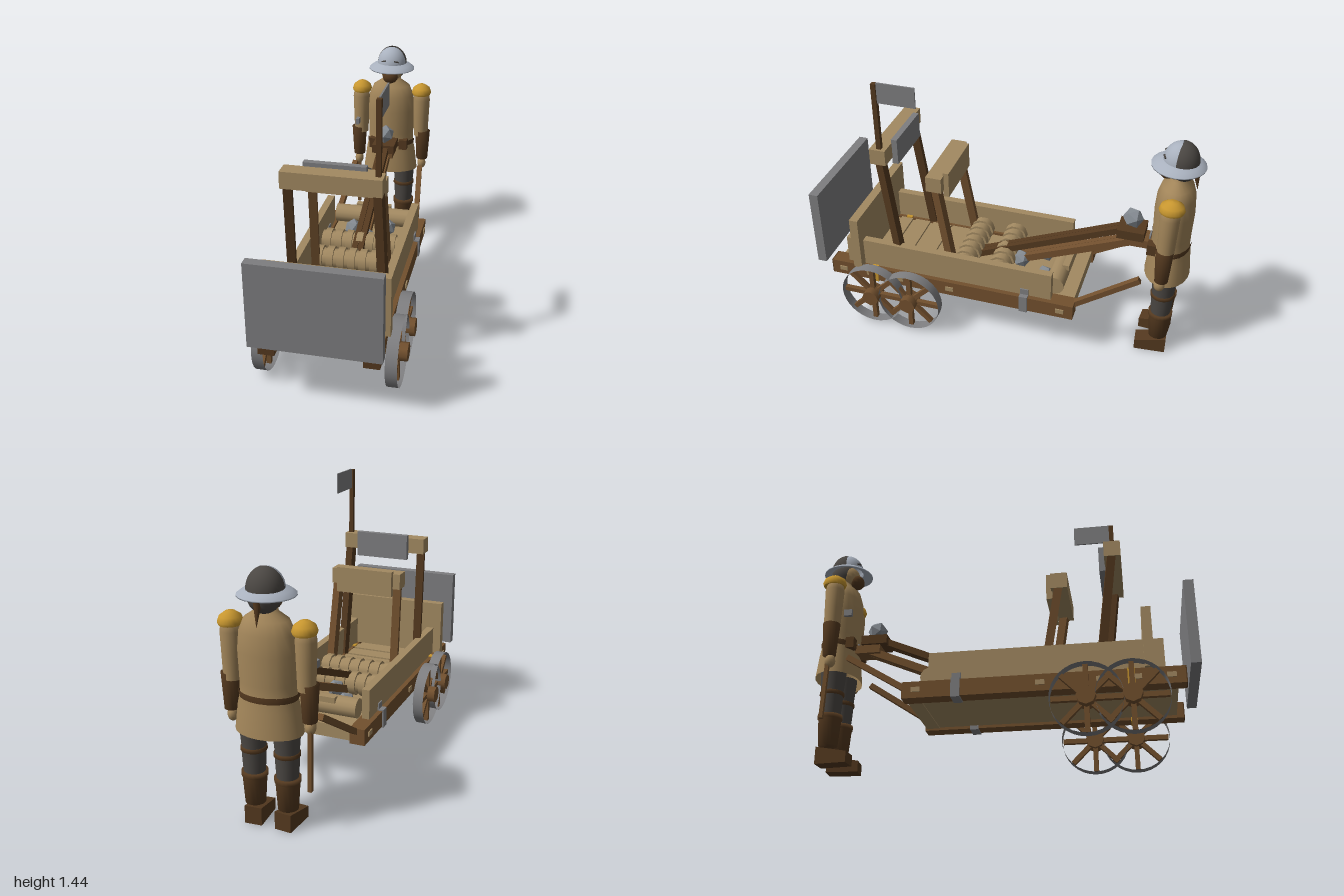
import * as THREE from 'three';

const mat = (name, color, side = THREE.FrontSide) => {
  const m = new THREE.MeshStandardMaterial({ color, side });
  m.name = name;
  return m;
};

export function createModel() {
  const root = new THREE.Group();
  root.name = 'siegeWagonAndSoldier';
  const D = THREE.DoubleSide;
  const wood = mat('paleWood', 0xa38a62), brown = mat('brownWood', 0x72502e), dark = mat('darkLeather', 0x54391f);
  const iron = mat('iron', 0x7e7e80, D), steel = mat('helmetSteel', 0xa9b1be, D), gold = mat('gold', 0xc7962f);
  const cloth = mat('coatCloth', 0xa3865a, D), grey = mat('darkGrey', 0x4b4743, D), stone = mat('stone', 0x858b92);

  const add = (name, geo, m, x = 0, y = 0, z = 0, parent = root) => {
    const o = new THREE.Mesh(geo, m);
    o.name = name;
    o.position.set(x, y, z);
    parent.add(o);
    return o;
  };
  // box given by its limits on each axis
  const box = (name, m, x0, x1, y0, y1, z0, z1, parent = root) =>
    add(name, new THREE.BoxGeometry(x1 - x0, y1 - y0, z1 - z0), m, (x0 + x1) / 2, (y0 + y1) / 2, (z0 + z1) / 2, parent);
  // square beam between two points
  const beam = (name, m, a, b, w, d = w) => {
    const A = new THREE.Vector3(...a), B = new THREE.Vector3(...b);
    const o = add(name, new THREE.BoxGeometry(w, d, A.distanceTo(B)), m);
    o.position.copy(A).add(B).multiplyScalar(0.5);
    o.lookAt(B);
    return o;
  };
  // upright round part with elliptical section
  const lathe = (name, m, pts, x, z, sx = 1, sz = 1, parent = root) => {
    const o = add(name, new THREE.LatheGeometry(pts.map(p => new THREE.Vector2(...p)), 20), m, x, 0, z, parent);
    o.scale.set(sx, 1, sz);
    return o;
  };

  // Wagon bed
  box('bedFloor', wood, -0.21, 0.21, 0.27, 0.325, -0.4, 0.89);
  box('rearCrossBeam', wood, -0.21, 0.21, 0.265, 0.335, -0.43, -0.36);
  for (const [a, b] of [[0.28, 0.4], [0.41, 0.52], [0.54, 0.63], [0.65, 0.72], [0.8, 0.89]])
    box('floorPlank', wood, -0.21, 0.21, 0.32, 0.337, a, b);
  box('frontShield', iron, -0.315, 0.315, 0.34, 0.775, 0.95, 1);
  box('frontBoard', wood, -0.31, 0.31, 0.34, 0.65, 0.738, 0.785);

  for (const s of [-1, 1]) {
    const side = (name, m, xa, xb, ...r) => box(name, m, Math.min(s * xa, s * xb), Math.max(s * xa, s * xb), ...r);
    side('sideRail', brown, 0.21, 0.29, 0.255, 0.34, -0.44, 0.925);
    side('railEndFront', dark, 0.21, 0.29, 0.255, 0.34, 0.925, 0.93);
    side('sideWall', wood, 0.225, 0.265, 0.34, 0.497, -0.315, 0.835);
    side('ironClamp', iron, 0.205, 0.297, 0.248, 0.347, -0.195, -0.15);
    side('clampUpper', iron, 0.22, 0.272, 0.34, 0.38, -0.195, -0.15);
    side('goldStrap', gold, 0.207, 0.293, 0.25, 0.345, 0.655, 0.69);
    for (const z of [0.86, 0.7, 0.53, 0.24, -0.37])
      side('railPeg', wood, 0.288, 0.296, 0.285, 0.31, z - 0.022, z + 0.022);
    // pulling shafts
    beam('pullShaft', brown, [s * 0.235, 0.32, -0.43], [s * 0.2, 0.53, -0.757], 0.03);

    // Wheels
    for (const z of [0.675, 0.46]) {
      const wheel = new THREE.Group();
      wheel.name = 'wheel';
      wheel.position.set(s * 0.325, 0.19, z);
      root.add(wheel);
      add('rim', new THREE.CylinderGeometry(0.175, 0.175, 0.058, 32, 1, true), iron, 0, 0, 0, wheel).rotation.z = Math.PI / 2;
      add('hub', new THREE.CylinderGeometry(0.047, 0.047, 0.09, 8), brown, s * 0.01, 0, 0, wheel).rotation.z = Math.PI / 2;
      for (let i = 0; i < 4; i++)
        add('spokePair', new THREE.BoxGeometry(0.025, 0.335, 0.025), brown, 0, 0, 0, wheel).rotation.x = i * Math.PI / 4;
    }

    // Uprights of both frames
    beam('frontUpright', dark, [s * 0.23, 0.34, 0.525], [s * 0.215, 1.0, 0.612], 0.042);
    beam('rearUpright', brown, [s * 0.19, 0.34, 0.245], [s * 0.175, 0.86, 0.332], 0.042);
  }
  box('frontFrameBar', wood, -0.24, 0.24, 0.985, 1.07, 0.575, 0.66);
  box('frontFramePad', iron, -0.15, 0.15, 0.95, 1.09, 0.545, 0.577);
  box('rearFrameBar', wood, -0.2, 0.2, 0.845, 0.93, 0.295, 0.38);
  box('rearFramePad', wood, -0.16, 0.16, 0.805, 0.945, 0.268, 0.3);
  box('flagPole', dark, 0.202, 0.226, 1.0, 1.435, 0.6, 0.625);
  box('flag', iron, 0.21, 0.218, 1.33, 1.44, 0.4, 0.6);

  // Ribbed winding rollers and rear roll
  const roller = (z, y, r, ribs) => {
    const cyl = (rad, len, x) =>
      add('roller', new THREE.CylinderGeometry(rad, rad, len, 10).rotateZ(Math.PI / 2), wood, x, y, z);
    cyl(r * 0.8, 0.42, 0);
    for (let i = 0; i < ribs; i++) cyl(r, 0.036, -0.175 + i * 0.35 / (ribs - 1));
  };
  roller(0.2, 0.385, 0.065, 7);
  roller(0.005, 0.385, 0.065, 7);
  add('rearRoll', new THREE.CylinderGeometry(0.052, 0.052, 0.42, 14).rotateZ(Math.PI / 2), wood, 0, 0.393, -0.318);
  box('rearRollPlank', wood, -0.1, 0.1, 0.42, 0.45, -0.37, -0.335);

  // Throwing arm with stepped cup
  for (const x of [-0.016, 0.016]) {
    beam('throwingArm', dark, [x, 0.36, 0.16], [x, 0.69, -0.62], 0.03, 0.035);
    beam('lowerArm', brown, [x, 0.32, 0.06], [x, 0.64, -0.7], 0.03, 0.04);
  }
  box('cupUpper', dark, -0.065, 0.065, 0.665, 0.715, -0.74, -0.6);
  box('cupLower', brown, -0.05, 0.05, 0.62, 0.665, -0.78, -0.64);
  for (const [x, y, z, r] of [[0, 0.762, -0.67, 0.055], [-0.09, 0.365, -0.2, 0.05], [0.1, 0.365, -0.24, 0.05], [0.015, 0.375, -0.085, 0.05]]) {
    const g = new THREE.IcosahedronGeometry(r, 0);
    const o = add('stoneShot', g, stone, x, y, z);
    o.rotation.x = 0.55;
  }

  // Soldier
  const Z = -0.87;
  const man = new THREE.Group();
  man.name = 'soldier';
  root.add(man);
  lathe('coat', cloth, [[0.13, 0.48], [0.118, 0.6], [0.108, 0.66], [0.108, 0.72], [0.112, 0.86], [0.105, 0.95], [0.085, 1.01], [0.045, 1.045], [0.04, 1.08]], 0, Z, 1.27, 0.9, man);
  lathe('belt', dark, [[0.111, 0.645], [0.113, 0.66], [0.112, 0.675]], 0, Z, 1.27, 0.92, man).material = dark;
  box('buckle', iron, -0.025, 0.025, 0.64, 0.685, Z + 0.1, Z + 0.108, man);
  for (const s of [-1, 1]) {
    box('pouch', dark, s * 0.09 - 0.025, s * 0.09 + 0.025, 0.63, 0.69, Z + 0.06, Z + 0.105, man);
    lathe('trouserLeg', grey, [[0.05, 0.24], [0.056, 0.32], [0.058, 0.4], [0.068, 0.52]], s * 0.085, Z, 1, 1, man);
    lathe('kneeBand', dark, [[0.055, 0.365], [0.063, 0.37], [0.063, 0.385], [0.057, 0.39]], s * 0.085, Z, 1, 1, man);
    lathe('bootShaft', dark, [[0, 0.1], [0.049, 0.1], [0.058, 0.235], [0.063, 0.24], [0.063, 0.262], [0, 0.262]], s * 0.085, Z, 1, 1, man);

    // wedge foot with low toe
    const foot = new THREE.BoxGeometry(0.085, 0.09, 0.165);
    const p = foot.attributes.position;
    for (let i = 0; i < p.count; i++) if (p.getZ(i) > 0 && p.getY(i) > 0) p.setY(i, 0.012);
    foot.computeVertexNormals();
    add('foot', foot, dark, s * 0.083, 0.045, -0.835, man).rotation.y = s * 0.08;

    lathe('sleeve', cloth, [[0.042, 0.7], [0.046, 0.82], [0.05, 0.93], [0.04, 0.985], [0, 1.0]], s * 0.185, -0.865, 1, 1, man);
    lathe('gauntlet', dark, [[0, 0.55], [0.034, 0.55], [0.045, 0.73], [0, 0.735]], s * 0.197, -0.862, 1, 1, man);
    add('hand', new THREE.SphereGeometry(0.034, 12, 8), cloth, s * 0.197, 0.52, -0.855, man).scale.set(0.75, 1.05, 0.85);
    lathe('epaulette', gold, [[0.058, 0.96], [0.064, 0.975], [0.055, 1.0], [0.025, 1.02], [0, 1.023]], s * 0.182, -0.87, 0.9, 1, man).rotation.z = 0;
    lathe('epauletteBase', gold, [[0, 0.96], [0.058, 0.96]], s * 0.182, -0.87, 0.9, 1, man);
  }
  // Carried rod with iron grip
  beam('carriedRod', brown, [-0.2, 0.21, -0.875], [-0.2, 0.54, -0.865], 0.02);
  box('ironGrip', iron, -0.2, -0.18, 0.775, 0.81, -0.8, -0.757, man);

  // Head, beard and tail of hair
  add('face', new THREE.SphereGeometry(0.068, 18, 12), cloth, 0, 1.105, -0.865, man);
  add('beard', new THREE.SphereGeometry(0.042, 12, 8), dark, 0, 1.075, -0.812, man).scale.set(1.1, 0.95, 1);
  add('hairBack', new THREE.SphereGeometry(0.075, 18, 12), grey, 0, 1.11, -0.885, man);
  const tail = add('hairTail', new THREE.ConeGeometry(0.024, 0.13, 8), dark, 0, 1.055, -0.955, man);
  tail.rotation.x = Math.PI + 0.15;

  // Helmet: steel front shell, dark crown behind, wide brim
  add('helmetFront', new THREE.SphereGeometry(0.086, 24, 10, 0, Math.PI, 0, Math.PI / 2), steel, 0, 1.14, -0.868, man).scale.y = 1.18;
  add('helmetCrown', new THREE.SphereGeometry(0.087, 24, 10, Math.PI * 0.93, Math.PI * 1.14, 0, Math.PI / 2), grey, 0, 1.14, -0.873, man).scale.y = 1.2;
  lathe('brim', steel, [[0.08, 1.15], [0.11, 1.138], [0.134, 1.12], [0.134, 1.114], [0.08, 1.138]], 0, -0.862, 1, 1, man);
  for (const s of [-1, 1]) {
    const slit = box('helmetSlit', grey, s * 0.038 - 0.014, s * 0.038 + 0.014, 1.168, 1.175, -0.798, -0.79, man);
    slit.rotation.set(0, s * 0.45, -s * 0.25);
  }
  return root;
}
